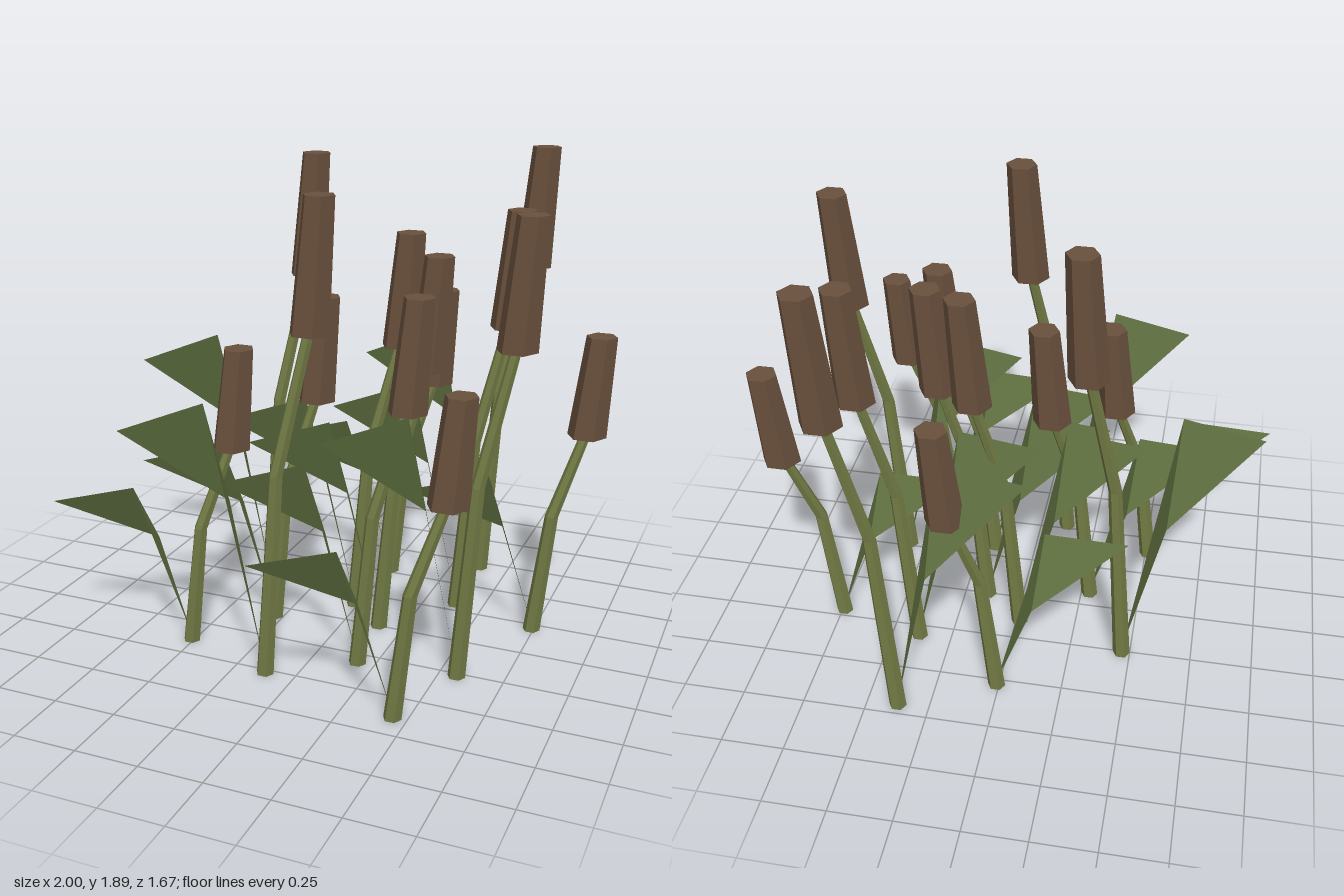
import * as THREE from 'three';

const headMaterial = new THREE.MeshStandardMaterial({ color: 0x69503d, flatShading: true });
const stemMaterial = new THREE.MeshStandardMaterial({ color: 0x727b45, flatShading: true });
const leafMaterial = new THREE.MeshStandardMaterial({ color: 0x5f7040, flatShading: true, side: THREE.DoubleSide });

// Six-sided closed tube through level rings given as [x, y, z, radius], bottom to top
function hexLoft(rings) {
  const n = 6, pos = [], index = [];
  for (const [x, y, z, r] of rings) {
    for (let i = 0; i < n; i++) {
      const a = (i / n) * Math.PI * 2;
      pos.push(x + r * Math.cos(a), y, z + r * Math.sin(a));
    }
  }
  for (let k = 0; k < rings.length - 1; k++) {
    for (let i = 0; i < n; i++) {
      const a = k * n + i, b = k * n + (i + 1) % n;
      index.push(a, a + n, b, b, a + n, b + n);
    }
  }
  const top = (rings.length - 1) * n;
  for (let i = 1; i < n - 1; i++) {
    index.push(0, i, i + 1, top, top + i + 1, top + i);
  }
  const g = new THREE.BufferGeometry();
  g.setAttribute('position', new THREE.Float32BufferAttribute(pos, 3));
  g.setIndex(index);
  g.computeVertexNormals();
  return g;
}

// Folded leaf: a narrow blade rising from the root, then a tip bent outwards
function leafGeometry(h) {
  const g = new THREE.BufferGeometry();
  g.setAttribute('position', new THREE.Float32BufferAttribute([
    0, 0.02, 0,
    -0.145, 0.505 * h, -0.025,
    -0.172, 0.818 * h, 0.108,
    -0.485, 0.73 * h, 0.19,
  ], 3));
  g.setIndex([0, 1, 2, 2, 1, 3]);
  g.computeVertexNormals();
  return g;
}

function part(name, geometry, material) {
  const mesh = new THREE.Mesh(geometry, material);
  mesh.name = name;
  return mesh;
}

// One reed; h is the height at which the seed head starts
function reed(x, z, h) {
  const plant = new THREE.Group();
  plant.name = 'reed';
  const headHeight = 0.4 + 0.18 * (h - 0.83);
  plant.add(
    part('stem', hexLoft([
      [0, 0, 0, 0.035],
      [0.06, 0.61 * h, 0, 0.027],
      [0.166, h + 0.02, -0.075, 0.021],
    ]), stemMaterial),
    part('seedHead', hexLoft([
      [0.166, h, -0.075, 0.077],
      [0.2, h + headHeight, -0.09, 0.06],
    ]), headMaterial),
    part('leaf', leafGeometry(h), leafMaterial),
  );
  plant.position.set(x, 0, z);
  return plant;
}

export function createModel() {
  const model = new THREE.Group();
  model.name = 'reedCluster';
  // Root x, root z, height of the seed head's lower end
  const reeds = [
    [0.375, -0.70, 1.39], [0.01, -0.525, 0.885], [-0.465, -0.255, 1.38],
    [-0.015, -0.145, 1.145], [0.385, -0.305, 1.22], [0.74, -0.21, 0.84],
    [0.15, 0, 1.10], [-0.285, 0.08, 0.95], [-0.51, 0.39, 0.82],
    [0.18, 0.315, 1.025], [0.57, 0.27, 1.29], [-0.12, 0.52, 1.345],
    [0.445, 0.64, 0.82],
  ];
  for (const [x, z, h] of reeds) model.add(reed(x, z, h));
  return model;
}
